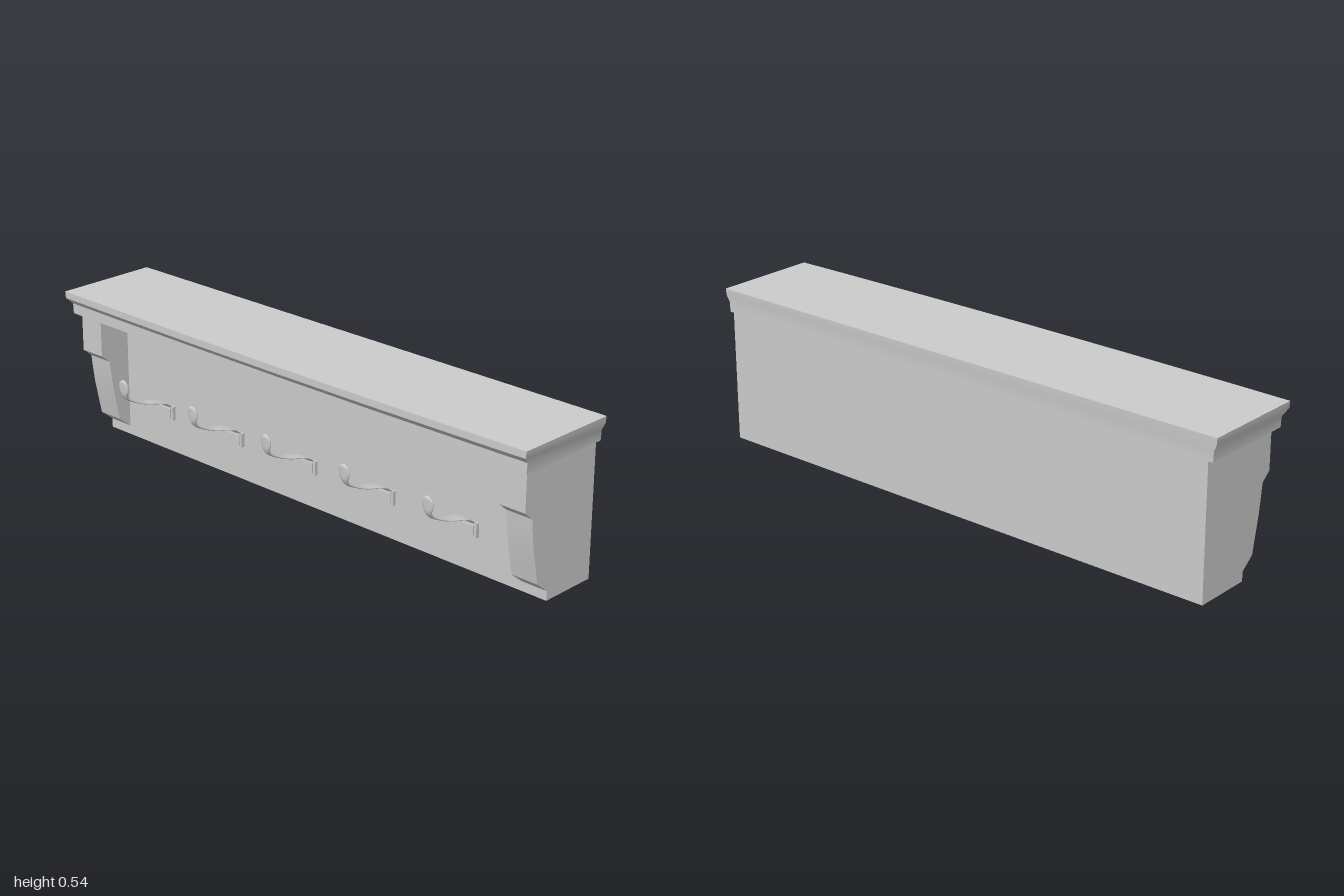
import * as THREE from 'three';
import { toCreasedNormals } from 'three/addons/utils/BufferGeometryUtils.js';

const material = new THREE.MeshStandardMaterial({ color: 0xcccccc });

function addMesh(parent, name, geometry, x = 0, y = 0, z = 0) {
  const mesh = new THREE.Mesh(geometry, material);
  mesh.name = name;
  mesh.position.set(x, y, z);
  parent.add(mesh);
  return mesh;
}

// Joins equal-length rings of points into a closed skin with a fan at each end.
function loft(rings) {
  const n = rings[0].length;
  const points = rings.flat();
  const index = [];
  for (let i = 0; i < rings.length - 1; i++) {
    for (let j = 0; j < n; j++) {
      const a = i * n + j, b = i * n + (j + 1) % n;
      index.push(a, b, a + n, b, b + n, a + n);
    }
  }
  [0, rings.length - 1].forEach((r, end) => {
    const centre = new THREE.Vector3();
    rings[r].forEach((p) => centre.addScaledVector(p, 1 / n));
    points.push(centre);
    const c = points.length - 1;
    for (let j = 0; j < n; j++) {
      const a = r * n + j, b = r * n + (j + 1) % n;
      index.push(c, end ? a : b, end ? b : a);
    }
  });
  const geometry = new THREE.BufferGeometry().setFromPoints(points);
  geometry.setIndex(index);
  geometry.computeVertexNormals();
  return geometry;
}

// Shelf slab: moulded edge, with a slightly bowed front.
function shelfGeometry() {
  // y, half width, back z, front z at the ends, bow in the middle
  const levels = [
    [0.455, 0.986, -0.201, 0.143, 0.011],
    [0.49, 0.988, -0.201, 0.143, 0.011],
    [0.512, 0.998, -0.204, 0.165, 0.013],
    [0.535, 1, -0.205, 0.165, 0.013],
  ];
  const rings = levels.map(([y, half, back, front, bow]) => [
    new THREE.Vector3(-half, y, back),
    ...[-1, -0.8, -0.4, 0, 0.4, 0.8, 1].map(
      (f) => new THREE.Vector3(f * half, y, front + bow * (1 - f * f))),
    new THREE.Vector3(half, y, back),
  ]);
  return toCreasedNormals(loft(rings), 0.6);
}

// Side bracket: profile in z and y, extruded across x.
function bracketGeometry(width) {
  const profile = [
    [-0.201, 0], [0.003, 0], [0.003, 0.032], [0.05, 0.07], [0.062, 0.13],
    [0.074, 0.19], [0.081, 0.24], [0.087, 0.292], [0.12, 0.32], [0.12, 0.456],
    [-0.201, 0.456],
  ].map((p) => new THREE.Vector2(...p));
  const geometry = new THREE.ExtrudeGeometry(new THREE.Shape(profile), {
    depth: width, bevelEnabled: false,
  });
  geometry.rotateY(-Math.PI / 2).translate(width / 2, 0, 0);
  return toCreasedNormals(geometry, 0.6);
}

// Hook arm: flattened bar, wide at the plate, thin at the neck, oval at the tip.
function hookGeometry() {
  // z, y, half width, half thickness
  const stations = [
    [0.008, 0.165, 0.031, 0.004],
    [0.035, 0.184, 0.029, 0.004],
    [0.075, 0.196, 0.025, 0.004],
    [0.11, 0.204, 0.021, 0.004],
    [0.15, 0.219, 0.016, 0.004],
    [0.188, 0.241, 0.011, 0.005],
    [0.197, 0.257, 0.014, 0.006],
    [0.199, 0.273, 0.022, 0.006],
    [0.2, 0.29, 0.023, 0.006],
    [0.201, 0.303, 0.015, 0.006],
    [0.201, 0.31, 0.003, 0.002],
  ];
  const path = new THREE.CatmullRomCurve3(stations.map(([z, y]) => new THREE.Vector3(0, y, z)));
  const size = new THREE.CatmullRomCurve3(stations.map(([, , w, t]) => new THREE.Vector3(w, t, 0)));
  const xAxis = new THREE.Vector3(1, 0, 0);
  const steps = 40, sides = 14, rings = [];
  for (let i = 0; i <= steps; i++) {
    const centre = path.getPoint(i / steps);
    const half = size.getPoint(i / steps);
    const normal = path.getTangent(i / steps).cross(xAxis).normalize();
    rings.push(Array.from({ length: sides }, (_, j) => {
      const a = (j / sides) * Math.PI * 2;
      return centre.clone()
        .addScaledVector(xAxis, half.x * Math.cos(a))
        .addScaledVector(normal, half.y * Math.sin(a));
    }));
  }
  return loft(rings);
}

export function createModel() {
  const model = new THREE.Group();
  model.name = 'coatRackShelf';

  addMesh(model, 'shelf', shelfGeometry());
  addMesh(model, 'backPanel', new THREE.BoxGeometry(1.76, 0.456, 0.204), 0, 0.228, -0.099);

  const bracket = bracketGeometry(0.096);
  addMesh(model, 'leftBracket', bracket, 0.922);
  addMesh(model, 'rightBracket', bracket, -0.922);

  // Row of five hooks on small raised plates
  const arm = hookGeometry();
  const plate = new THREE.BoxGeometry(0.07, 0.048, 0.014);
  const boss = new THREE.BoxGeometry(0.052, 0.034, 0.006);
  for (let i = -2; i <= 2; i++) {
    const hook = new THREE.Group();
    hook.name = 'hook';
    hook.position.x = i * 0.336;
    addMesh(hook, 'hookPlate', plate, 0, 0.144, 0.009);
    addMesh(hook, 'hookBoss', boss, 0, 0.144, 0.017);
    addMesh(hook, 'hookArm', arm);
    model.add(hook);
  }
  return model;
}
